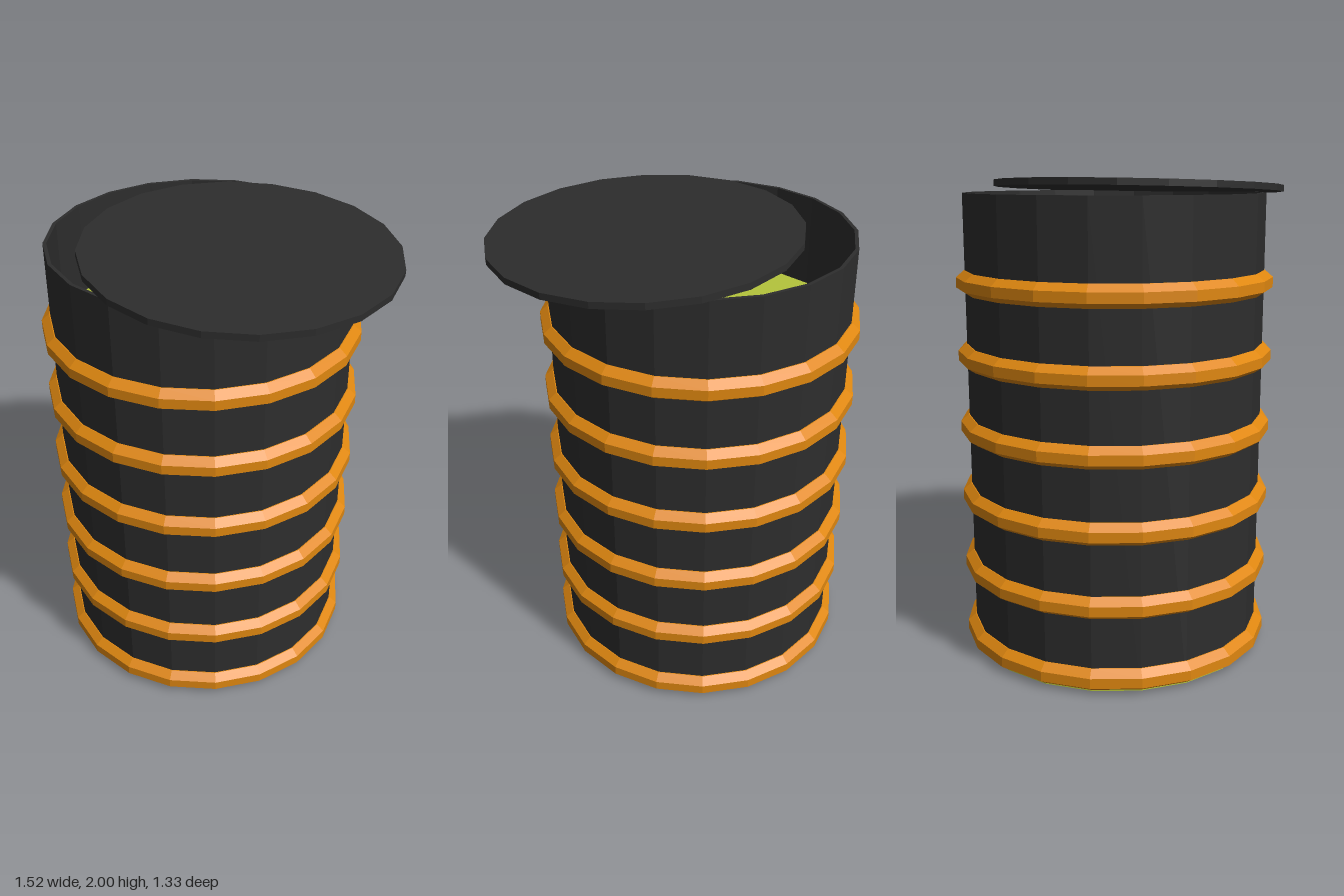
import * as THREE from 'three';

const SIDES = 20;
const RADIUS = 0.627;

function material(name, color) {
  const m = new THREE.MeshStandardMaterial({ color, flatShading: true });
  m.name = name;
  return m;
}

export function createModel() {
  const black = material('black', 0x2d2d2d);
  const orange = material('orange', 0xdf8710);
  const green = material('green', 0xb4c43c);

  const model = new THREE.Group();
  const barrel = new THREE.Group();
  barrel.name = 'barrel';
  barrel.position.x = -0.1;
  model.add(barrel);

  const add = (parent, name, geometry, mat, y) => {
    const mesh = new THREE.Mesh(geometry, mat);
    mesh.name = name;
    mesh.position.y = y;
    parent.add(mesh);
    return mesh;
  };
  const lathe = (points) => new THREE.LatheGeometry(
    points.map(([r, y]) => new THREE.Vector2(r, y)), SIDES);

  // Thin open wall: up the outside, over the rim, down the inside
  add(barrel, 'wall', lathe([
    [RADIUS, 0.005], [RADIUS, 1.937], [0.612, 1.937], [0.612, 1.5],
  ]), black, 0);

  // Contents and base
  add(barrel, 'contents', new THREE.CylinderGeometry(0.613, 0.613, 0.05, SIDES), green, 1.52);
  add(barrel, 'base', new THREE.CylinderGeometry(RADIUS, RADIUS, 0.006, SIDES), green, 0.003);

  // Six bevelled hoops
  const hoop = lathe([
    [RADIUS - 0.004, -0.046], [RADIUS + 0.004, -0.046], [0.664, -0.024],
    [0.664, 0.018], [RADIUS + 0.004, 0.046], [RADIUS - 0.004, 0.046],
  ]);
  for (let i = 0; i < 6; i++) add(barrel, 'hoop' + (i + 1), hoop, orange, 0.053 + i * 0.305);

  // Lid slid to one side and tilted
  const lid = add(model, 'lid', new THREE.CylinderGeometry(RADIUS, RADIUS, 0.027, SIDES), black, 1.96);
  lid.position.x = 0.133;
  lid.rotation.z = -0.042;

  return model;
}
